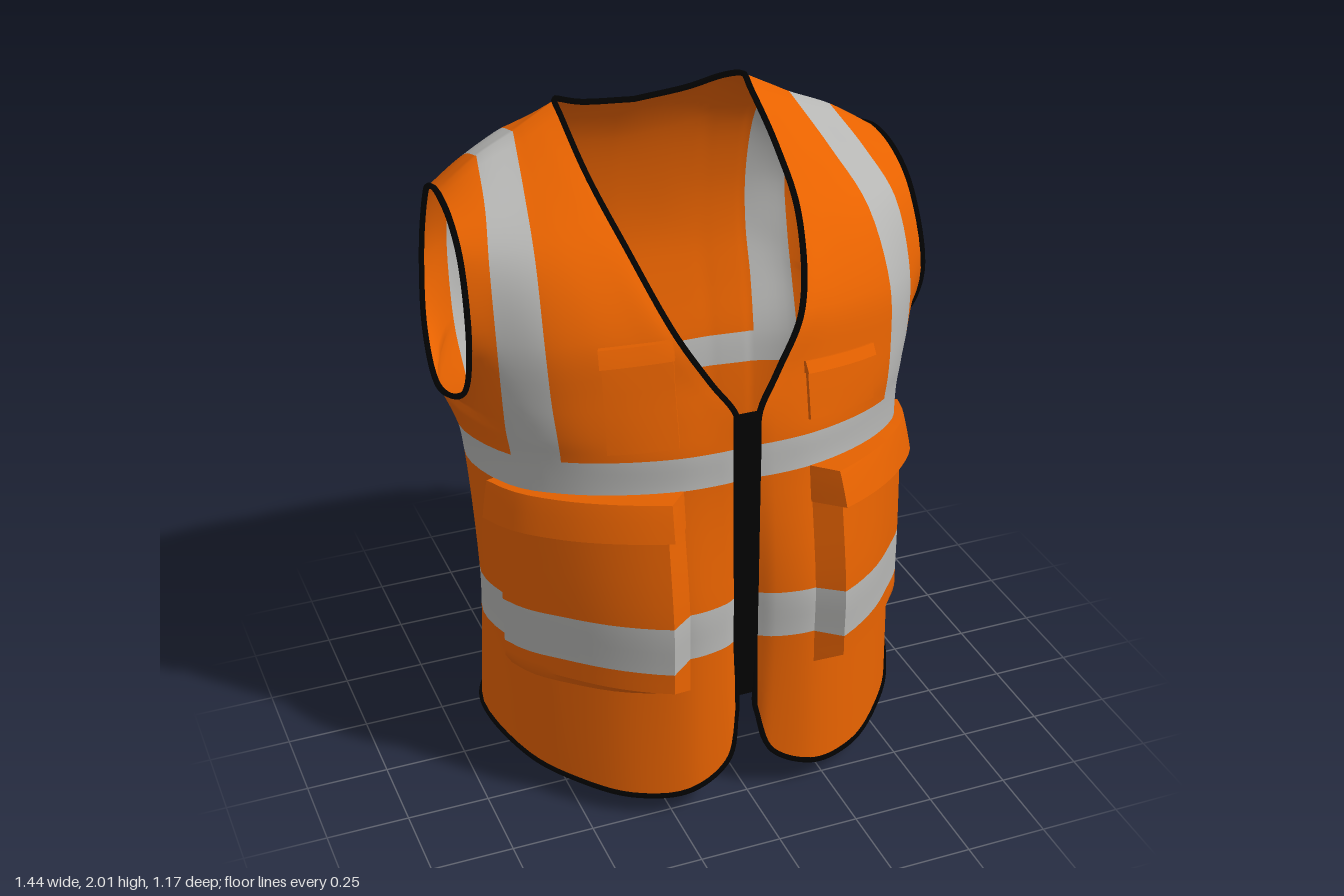
import * as THREE from 'three';
import { mergeVertices, toCreasedNormals } from 'three/addons/utils/BufferGeometryUtils.js';

const N = 5; // subdivisions between control points
const V = (a) => new THREE.Vector3(...a);
const spline = (pts, closed = false) => new THREE.CatmullRomCurve3(pts, closed);
const range = (a, b, n) => Array.from({ length: n + 1 }, (_, i) => a + (b - a) * i / n);

// Half cross-sections [x, z], from front edge round the side (7th) to centre back
const hem = [[.03, .48], [.07, .515], [.2, .535], [.36, .475], [.495, .355], [.6, .21], [.67, -.03],
  [.535, -.325], [.405, -.427], [.29, -.47], [.24, -.48], [.16, -.493], [0, -.5]];
const waist = [[.03, .47], [.08, .505], [.2, .525], [.36, .455], [.5, .33], [.6, .2], [.645, -.07],
  [.525, -.35], [.415, -.437], [.29, -.483], [.24, -.488], [.16, -.493], [0, -.495]];
const chest = [[.03, .47], [.08, .475], [.2, .465], [.36, .405], [.5, .31], [.605, .18], [.655, -.13],
  [.55, -.4], [.43, -.482], [.29, -.51], [.24, -.513], [.16, -.513], [0, -.51]];
const armpit = [[.035, .465], [.09, .46], [.2, .445], [.37, .392], [.51, .312], [.62, .18], [.71, -.2],
  [.565, -.505], [.44, -.552], [.29, -.565], [.24, -.563], [.15, -.56], [0, -.555]];
const hemY = [.3, .15, .085, .07, .08, .1, .145, .08, .045, .03, .025, .015, .01];
const pitY = [1.3, 1.29, 1.28, 1.26, 1.24, 1.22, 1.2, 1.2, 1.2, 1.2, 1.2, 1.2, 1.2];
const level = (sec, y) => sec.map(([x, z], i) => [x, y(z, i), z]);
const mix = (a, b, t) => a.map((p, i) => p.map((q, k) => q + (b[i][k] - q) * t));
const bodyRows = [
  level(hem, (z, i) => hemY[i]),
  level(waist, (z) => .473 + .16 * z), level(waist, (z) => .618 + .175 * z), // lower band
  level(chest, (z) => 1.008 + .18 * z), level(mix(chest, armpit, .25), (z) => 1.113 + .18 * z), // upper band
  level(armpit, (z, i) => pitY[i]),
];

// Front panel above the armpit: neck edge to armhole edge
const frontRows = [
  [[.1, 1.4, .435], [.15, 1.395, .43], [.24, 1.39, .413], [.39, 1.37, .367], [.52, 1.345, .3], [.63, 1.33, .19], [.695, 1.29, .036]],
  [[.19, 1.55, .39], [.23, 1.55, .383], [.3, 1.54, .363], [.42, 1.53, .322], [.525, 1.515, .27], [.635, 1.5, .178], [.7, 1.48, .13]],
  [[.262, 1.745, .2], [.29, 1.742, .198], [.34, 1.738, .19], [.43, 1.728, .172], [.505, 1.717, .148], [.62, 1.705, .09], [.69, 1.7, .055]],
  [[.29, 1.87, -.03], [.31, 1.867, -.03], [.35, 1.86, -.032], [.41, 1.845, -.035], [.47, 1.83, -.04], [.585, 1.808, -.045], [.685, 1.785, -.05]],
];
// Back panel above the armpit: armhole edge to centre back
const backRows = [
  [[.685, 1.29, -.416], [.565, 1.33, -.545], [.435, 1.36, -.585], [.29, 1.37, -.588], [.24, 1.375, -.587], [.15, 1.38, -.585], [0, 1.38, -.58]],
  [[.655, 1.5, -.51], [.56, 1.53, -.565], [.43, 1.55, -.58], [.29, 1.56, -.578], [.24, 1.56, -.576], [.15, 1.56, -.572], [0, 1.56, -.57]],
  [[.655, 1.72, -.42], [.555, 1.75, -.48], [.43, 1.78, -.51], [.28, 1.785, -.515], [.24, 1.78, -.517], [.16, 1.765, -.522], [0, 1.75, -.525]],
  [[.67, 1.785, -.31], [.55, 1.85, -.35], [.43, 1.895, -.39], [.285, 1.93, -.405], [.245, 1.91, -.435], [.165, 1.877, -.463], [0, 1.86, -.468]],
  [[.68, 1.815, -.19], [.55, 1.89, -.23], [.43, 1.935, -.26], [.295, 2, -.29], [.258, 1.97, -.37], [.17, 1.93, -.418], [0, 1.91, -.43]],
];

// Columns 0-6 front edge to side, 7-15 on to centre back; rows 0-10 hem to shoulder
const widen = (r) => { // adds three columns between the back stripe and the neck corner
  const p = r.map(V), k = p.length - 4;
  return [...p.slice(0, k), ...[.25, .5, .75].map((t) => p[k - 1].clone().lerp(p[k], t)), ...p.slice(k)];
};
const body = bodyRows.map(widen), back = backRows.map(widen), front = frontRows.map((r) => r.map(V));
front.push(back[4].slice(0, 7).reverse()); // shared shoulder seam
const cols = range(0, 15, 15).map((i) => i === 6 ? null : spline(
  [...body.map((r) => r[i]), ...(i < 6 ? front.map((r) => r[i]) : back.map((r) => r[i - 6]))]));
const sideSeam = spline(body.map((r) => r[6]));
const armLoop = spline([body[5][6], ...front.map((r) => r[6]), ...back.slice(0, 4).map((r) => r[0]).reverse()], true);

function rowCurve(v, isBack) {
  const w = (v - 5) / 10;
  const at = (i) => i !== 6 ? cols[i].getPoint(v / 10)
    : v <= 5 ? sideSeam.getPoint(v / 5) : armLoop.getPoint(isBack ? 1 - w : w);
  return spline((v <= 5 ? range(0, 15, 15) : isBack ? range(6, 15, 9) : range(0, 6, 6)).map(at));
}
const surf = (u, v) => rowCurve(v, false).getPoint(u / (v <= 5 ? 15 : 6));
function bodyPlace(u, v) {
  const p = surf(u, v), e = .02;
  const n = surf(u + e, v).sub(p).cross(surf(u, v + e).sub(p)).normalize();
  return { p, n };
}
// Finds the chest surface at a given x, y
function chestPlace(x, y) {
  let u = 2.3, v = 5.8;
  for (let k = 0; k < 25; k++) {
    const p = surf(u, v);
    u = THREE.MathUtils.clamp(u + 4.5 * (x - p.x), 0, 5.5);
    v = THREE.MathUtils.clamp(v + 4.5 * (y - p.y), 3, 9);
  }
  return { p: surf(u, v), n: V([.4, .2, .9]).normalize() };
}

// Grids of points to one geometry: group 0 fabric, group 1 reflective tape
function sheet(patches, sides) {
  const pos = [], fabric = [], tape = [];
  for (const m of sides) for (const { grid, isTape } of patches) {
    const w = grid[0].length, base = pos.length / 3;
    grid.flat().forEach((p) => pos.push(p.x * m, p.y, p.z));
    for (let j = 0; j < grid.length - 1; j++) for (let i = 0; i < w - 1; i++) {
      const a = base + j * w + i, b = a + 1, c = b + w, d = a + w;
      (isTape(i, j) ? tape : fabric).push(...(m > 0 ? [a, b, c, a, c, d] : [a, c, b, a, d, c]));
    }
  }
  const geo = new THREE.BufferGeometry();
  geo.setAttribute('position', new THREE.Float32BufferAttribute(pos, 3));
  geo.setIndex([...fabric, ...tape]);
  geo.addGroup(0, fabric.length, 0);
  if (tape.length) geo.addGroup(fabric.length, tape.length, 1);
  const merged = mergeVertices(geo, 1e-4);
  merged.computeVertexNormals();
  return merged;
}

// Patch raised off the cloth; its inner and lower walls slope out by du, dv
function raised(place, us, vs, depth, m, banded, du = 0, dv = 0) {
  const U = [us[0] - du, ...us, us.at(-1)], W = [vs[0] - dv, ...vs, vs.at(-1)];
  const grid = W.map((v, j) => U.map((u, i) => {
    const { p, n } = place(u, v);
    const rim = i === 0 || j === 0 || i === U.length - 1 || j === W.length - 1;
    const s = (u - us[0]) / (us.at(-1) - us[0]), t = (v - vs[0]) / (vs.at(-1) - vs[0]);
    return p.clone().addScaledVector(n, rim ? .001 : depth(s, t));
  }));
  const isTape = (i, j) => { const mid = (W[j] + W[j + 1]) / 2; return banded && mid > 1 && mid < 2; };
  return toCreasedNormals(sheet([{ grid, isTape }], [m]), .6);
}

export function createModel() {
  const model = new THREE.Group();
  model.name = 'safetyVest';
  const mat = (name, color) => { const k = new THREE.MeshStandardMaterial({ color, side: THREE.DoubleSide }); k.name = name; return k; };
  const orange = mat('orangeFabric', 0xe96300), grey = mat('reflectiveTape', 0xb6b6b4), black = mat('blackTrim', 0x020202);
  const add = (name, geo, material) => {
    const mesh = new THREE.Mesh(geo, material);
    mesh.name = name;
    model.add(mesh);
    return mesh;
  };

  // Cloth shell
  const sample = (v0, v1, u0, u1, isBack) => range(v0, v1, (v1 - v0) * N).map((v) => {
    const c = rowCurve(v, isBack), n = (u1 - u0) * N;
    return range(0, 1, n).map((t) => c.getPoint(t));
  });
  const low = sample(0, 5, 0, 15, false);
  const upFront = sample(5, 10, 0, 6, false), upBack = sample(5, 10, 6, 15, true);
  const top = 5 * N, side = 6 * N;
  upFront[0] = low[top].slice(0, side + 1);
  upBack[0] = low[top].slice(side);
  for (let k = 0; k <= side; k++) upBack[top][k] = upFront[top][side - k];
  const strip = (u) => (u > 4 && u < 5) || (u > 7 && u < 8);
  const lowTape = (i, j) => {
    const u = (i + .5) / N, v = (j + .5) / N;
    return (v > 1 && v < 2) || (v > 3 && v < 4) || (v > 4 && strip(u));
  };
  add('vestShell', sheet([
    { grid: low, isTape: lowTape },
    { grid: upFront, isTape: (i) => strip((i + .5) / N) },
    { grid: upBack, isTape: (i) => strip(6 + (i + .5) / N) },
  ], [1, -1]), [orange, grey]);

  // Black binding round the neck, front edges, hem and armholes
  const neckAndHem = [
    ...upBack[top].slice(side).reverse(),
    ...upFront.map((r) => r[0]).reverse(),
    ...low.map((r) => r[0]).reverse(), ...low[0]];
  const armhole = [...upFront.map((r) => r[side]), ...upBack.map((r) => r[0]).reverse()];
  const binding = (name, pts, closed, m) => {
    const path = pts.filter((p, i) => i === 0 || p.distanceTo(pts[i - 1]) > 1e-3).map((p) => V([p.x * m, p.y, p.z]));
    if (closed) path.pop();
    const curve = spline(path, closed);
    curve.arcLengthDivisions = 1000;
    add(name, new THREE.TubeGeometry(curve, closed ? 80 : 240, .009, 6, closed), black);
  };

  for (const m of [1, -1]) {
    const s = m > 0 ? 'left' : 'right';
    binding(s + 'EdgeBinding', neckAndHem, false, m);
    binding(s + 'ArmholeBinding', armhole, true, m);
    // Cargo pocket with flap, deepest at its inner edge
    const bulge = (a) => .023 + .05 * (1 - a) ** 2;
    const vs = [.83, .9, ...range(1, 2, 4), ...range(2.2, 2.92, 4)];
    add(s + 'CargoPocket', raised(bodyPlace, range(2.28, 5.25, 12), vs, bulge, m, true, .3, .1), [orange, grey]);
    add(s + 'CargoFlap', raised(bodyPlace, range(2.2, 5.33, 12), range(2.68, 3.01, 4),
      (a, t) => bulge(a) + .012 + .026 * (1 - t) - .01 * a, m, false, .25), [orange, grey]);
  }

  // Chest pockets: tall on the right, wide on the left
  const chestPocket = (name, m, x0, x1, y0, y1, flapH, d, flapD) => {
    const place = (x, y) => chestPlace(x, y - .1 * (x - x0));
    add(name, raised(place, range(x0, x1, 5), range(y0, y1, 5), () => d, m, false), [orange, grey]);
    add(name + 'Flap', raised(place, range(x0 - .004, x1 + .004, 5), range(y1 - flapH, y1 + .01, 2),
      (a, t) => flapD - .01 * t, m, false), [orange, grey]);
  };
  chestPocket('rightChestPocket', -1, .2, .39, 1.235, 1.53, .04, .025, .04);
  chestPocket('leftChestPocket', 1, .19, .43, 1.24, 1.4, .025, .01, .018);

  // Front zip
  add('zip', new THREE.BoxGeometry(.078, .95, .024), black).position.set(-.006, .825, .468);
  return model;
}
